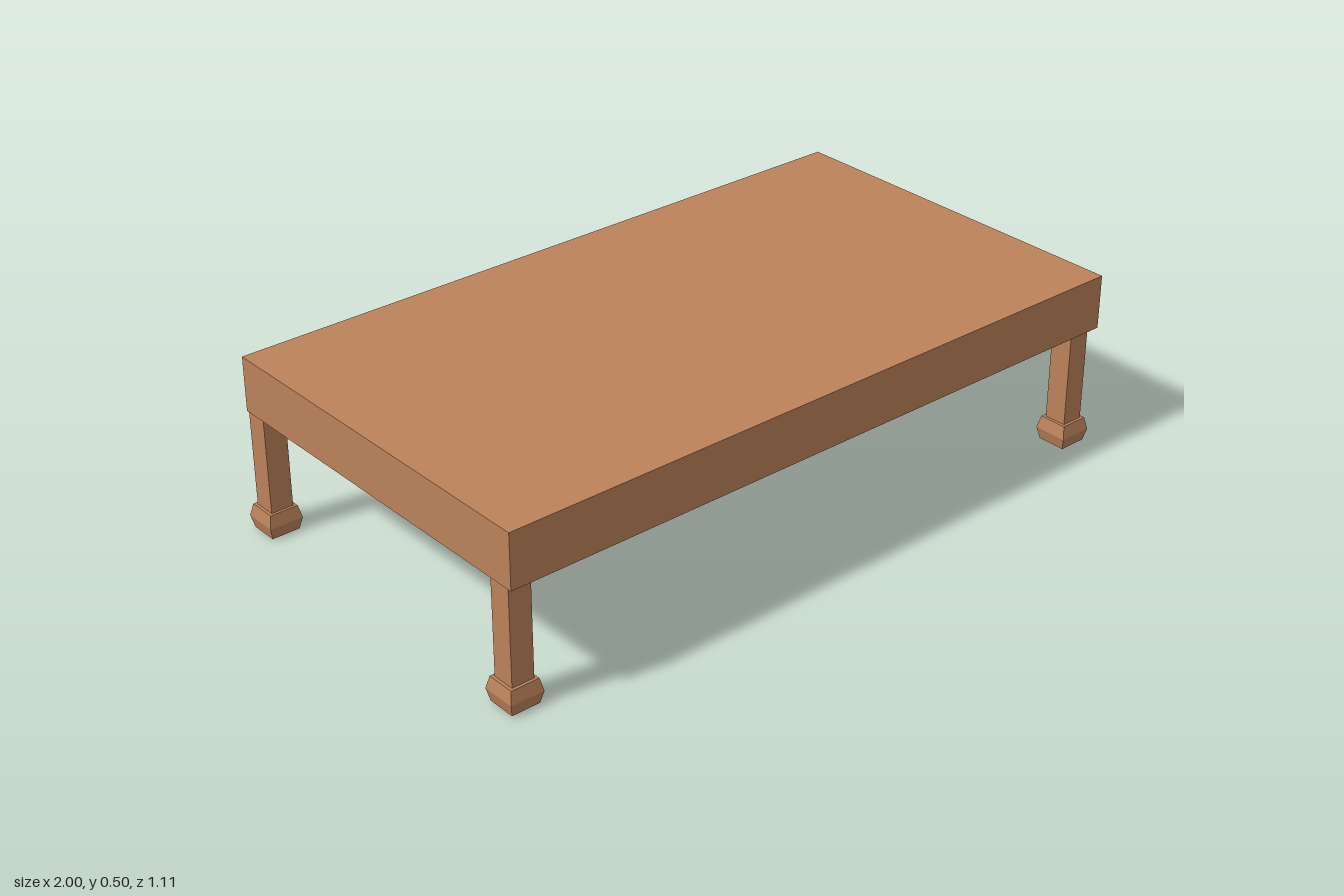
import * as THREE from 'three';

const wood = new THREE.MeshStandardMaterial({ color: 0xbb825a, flatShading: true });

function addMesh(parent, name, geometry, x, y, z) {
  const mesh = new THREE.Mesh(geometry, wood);
  mesh.name = name;
  mesh.position.set(x, y, z);
  parent.add(mesh);
  return mesh;
}

// Rectangle outline, optionally wound the other way for use as a hole
function rectangle(Type, w, d) {
  const p = new Type();
  p.moveTo(-w / 2, -d / 2);
  p.lineTo(w / 2, -d / 2);
  p.lineTo(w / 2, d / 2);
  p.lineTo(-w / 2, d / 2);
  p.closePath();
  return p;
}

export function createModel() {
  const group = new THREE.Group();
  group.name = 'lowTable';

  const width = 1.984, depth = 1.101;
  const top = 0.5, bottom = 0.345, recess = 0.113;
  const cx = 0.005, cz = 0.007;

  // Tabletop: solid slab above a rim that surrounds a recessed underside
  const table = new THREE.Group();
  table.name = 'tabletop';
  table.position.set(cx, 0, cz);
  group.add(table);

  const slab = top - bottom - recess;
  addMesh(table, 'topSlab', new THREE.BoxGeometry(width, slab, depth), 0, top - slab / 2, 0);

  const rimShape = rectangle(THREE.Shape, width, depth);
  rimShape.holes.push(rectangle(THREE.Path, width - 0.27, depth - 0.154));
  const rim = new THREE.ExtrudeGeometry(rimShape, { depth: recess, bevelEnabled: false });
  rim.rotateX(-Math.PI / 2);
  addMesh(table, 'rim', rim, 0, bottom, 0);

  // Four square legs, each on a block foot that bulges at mid height
  const legGeometry = new THREE.BoxGeometry(0.065, bottom - 0.07, 0.066);
  const r = Math.SQRT2;
  const footGeometry = new THREE.LatheGeometry([
    [0, 0], [0.041 * r, 0], [0.049 * r, 0.035], [0.041 * r, 0.07], [0, 0.07],
  ].map(([x, y]) => new THREE.Vector2(x, y)), 4, Math.PI / 4);

  for (const x of [-0.951, 0.942]) {
    for (const z of [-0.507, 0.509]) {
      const leg = new THREE.Group();
      leg.name = (z > 0 ? 'front' : 'back') + (x > 0 ? 'Left' : 'Right') + 'Leg';
      leg.position.set(x, 0, z);
      addMesh(leg, 'post', legGeometry, 0, (bottom + 0.07) / 2, 0);
      addMesh(leg, 'foot', footGeometry, 0, 0, 0);
      group.add(leg);
    }
  }
  return group;
}
